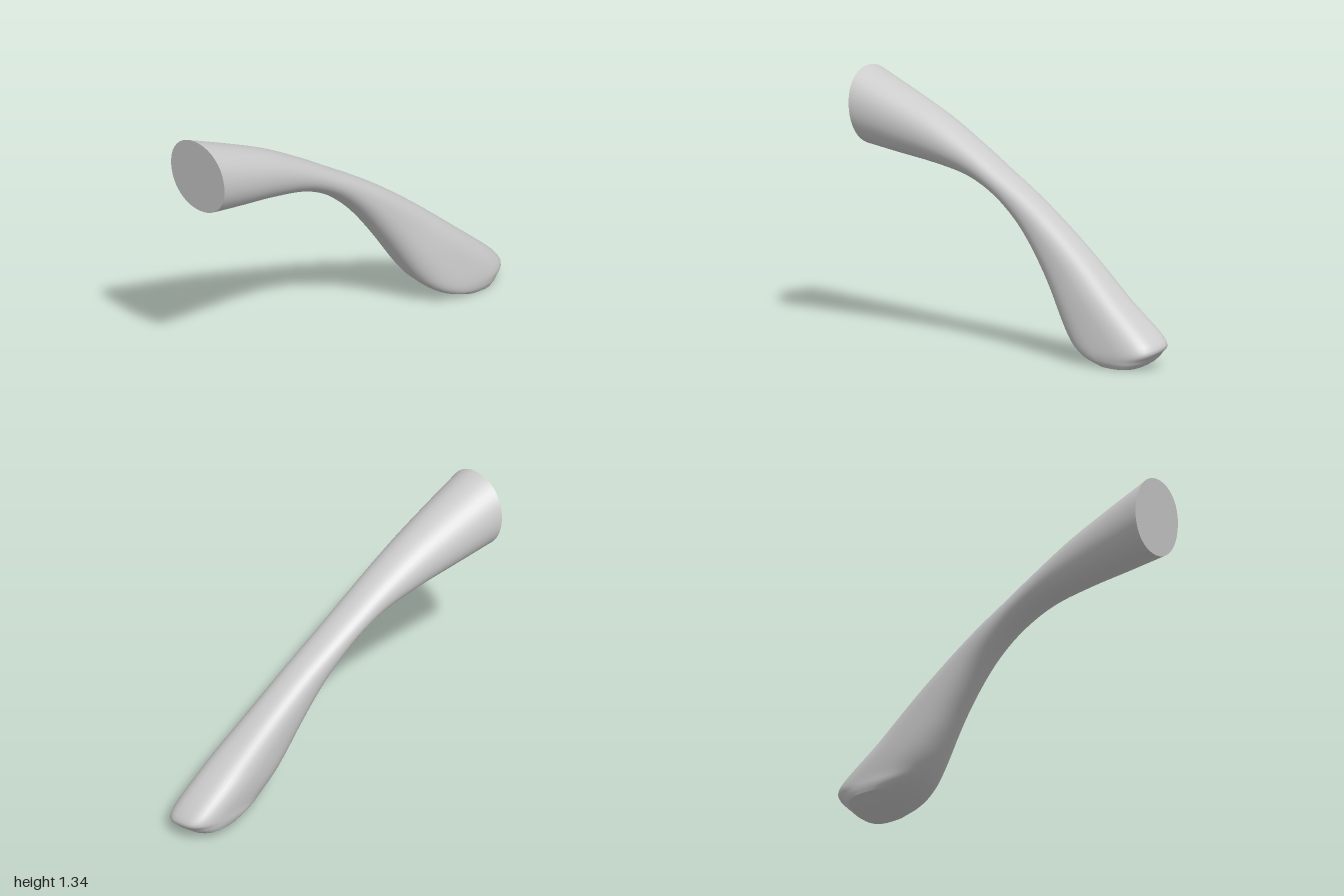
import * as THREE from 'three';

// Cross-sections from the round front end to the blunt foot:
// [top z, top y, bottom z, bottom y, min x, max x, squareness exponent]
const SECTIONS = [
  [1.0, 1.35, 0.96, 0.95, -0.23, 0.15, 2.1],
  [0.74, 1.25, 0.75, 0.925, -0.195, 0.135, 2.1],
  [0.5, 1.15, 0.53, 0.9, -0.16, 0.118, 2.1],
  [0.27, 1.03, 0.3, 0.86, -0.125, 0.103, 2.1],
  [0.08, 0.92, 0.13, 0.79, -0.108, 0.1, 2.1],
  [-0.1, 0.815, 0.0, 0.7, -0.1, 0.105, 2.2],
  [-0.28, 0.7, -0.12, 0.585, -0.092, 0.122, 2.3],
  [-0.5, 0.54, -0.26, 0.41, -0.087, 0.152, 2.5],
  [-0.75, 0.34, -0.4, 0.21, -0.08, 0.198, 2.7],
  [-0.995, 0.14, -0.48, 0.125, -0.07, 0.224, 2.9],
  [-0.975, 0.07, -0.56, 0.075, -0.068, 0.224, 2.9],
  [-0.935, 0.033, -0.66, 0.04, -0.058, 0.21, 2.8],
];
const SIDES = 40;
const STEPS = 66;

const curveOf = (pick) => new THREE.CatmullRomCurve3(
  SECTIONS.map((s) => new THREE.Vector3(...pick(s))), false, 'catmullrom', 0.5);
const topCurve = curveOf((s) => [0, s[1], s[0]]);
const bottomCurve = curveOf((s) => [0, s[3], s[2]]);
const widthCurve = curveOf((s) => [s[4], s[5], s[6]]);

// Superellipse ring spanning the top and bottom lines; the foot slopes down toward +x
function ring(t) {
  const top = topCurve.getPoint(t);
  const bottom = bottomCurve.getPoint(t);
  const w = widthCurve.getPoint(t);
  const middle = top.clone().add(bottom).multiplyScalar(0.5);
  const half = top.clone().sub(bottom).multiplyScalar(0.5);
  const round = (v) => Math.sign(v) * Math.pow(Math.abs(v), 2 / w.z);
  const points = [];
  for (let j = 0; j < SIDES; j++) {
    const a = (j / SIDES) * Math.PI * 2;
    const p = middle.clone().addScaledVector(half, round(Math.sin(a)));
    p.x = (w.x + w.y) / 2 + (w.y - w.x) / 2 * round(Math.cos(a));
    p.y += (0.07 - p.x) * 0.2 * THREE.MathUtils.clamp(1.3 - p.y / 0.25, 0, 1);
    points.push(p);
  }
  return points;
}

function centreOf(points) {
  return points.reduce((sum, p) => sum.add(p), new THREE.Vector3()).divideScalar(points.length);
}

function buildGeometry(points, index) {
  const geometry = new THREE.BufferGeometry().setFromPoints(points);
  geometry.setIndex(index);
  geometry.computeVertexNormals();
  return geometry;
}

export function createModel() {
  const group = new THREE.Group();
  const material = new THREE.MeshStandardMaterial({ color: 0xcccccc });
  const add = (name, geometry) => {
    const mesh = new THREE.Mesh(geometry, material);
    mesh.name = name;
    group.add(mesh);
  };

  // Curved shaft with its closed foot
  const points = [];
  const index = [];
  for (let i = 0; i <= STEPS; i++) points.push(...ring(i / STEPS));
  for (let i = 0; i < STEPS; i++) {
    for (let j = 0; j < SIDES; j++) {
      const a = i * SIDES + j;
      const b = i * SIDES + (j + 1) % SIDES;
      index.push(a, a + SIDES, b, b, a + SIDES, b + SIDES);
    }
  }
  const last = STEPS * SIDES;
  const footCentre = centreOf(points.slice(last));
  footCentre.y -= 0.012;
  points.push(footCentre);
  for (let j = 0; j < SIDES; j++) {
    index.push(last + j, last + SIDES, last + (j + 1) % SIDES);
  }
  add('shaft', buildGeometry(points, index));

  // Flat disc closing the front end
  const rim = ring(0);
  const capIndex = [];
  for (let j = 0; j < SIDES; j++) capIndex.push(SIDES, j, (j + 1) % SIDES);
  add('frontCap', buildGeometry([...rim, centreOf(rim)], capIndex));

  return group;
}
